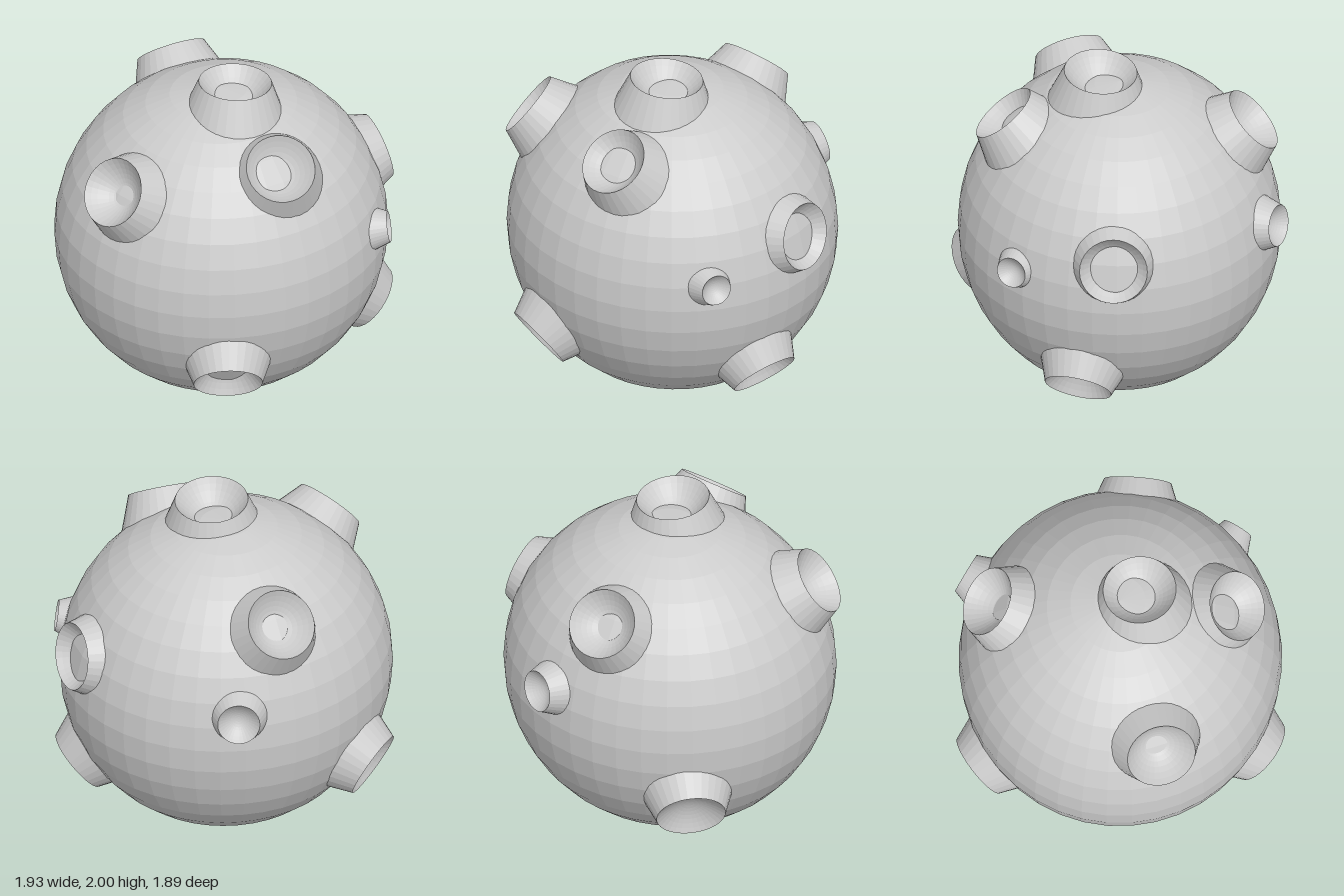
import * as THREE from 'three';

// One crater: rim centre, outward axis, rim radius, bowl depth / rim radius
const CRATERS = [
  { at: [0.01, 1.985, 0.115], axis: [0.07, 1, -0.06], r: 0.205 },
  { at: [0.05, 1.73, 0.66], axis: [-0.1, 0.77, 0.63], r: 0.195 },
  { at: [-0.82, 1.585, 0.305], axis: [-0.75, 0.6, 0.28], r: 0.195 },
  { at: [-0.345, 0.485, 0.83], axis: [-0.3, -0.56, 0.77], r: 0.193 },
  { at: [0.785, 0.375, 0.23], axis: [0.74, -0.64, 0.2], r: 0.19 },
  { at: [0.92, 1.245, 0.03], axis: [0.976, 0.217, 0], r: 0.19 },
  { at: [0.735, 1.11, 0.605], axis: [0.88, 0.15, 0.44], r: 0.088, bowl: 0.6 },
  { at: [-0.01, 1.66, -0.74], axis: [0, 0.684, -0.73], r: 0.196 },
  { at: [0.325, 1.17, -0.885], axis: [0.42, 0.15, -0.89], r: 0.118, bowl: 0.6 },
  { at: [-0.58, 0.535, -0.74], axis: [-0.54, -0.42, -0.73], r: 0.195, bowl: 0.42 },
];

export function createModel() {
  const group = new THREE.Group();
  const material = new THREE.MeshStandardMaterial({ color: 0xcccccc, flatShading: true });

  // Slightly squashed faceted ball
  const ball = new THREE.Mesh(new THREE.SphereGeometry(1, 40, 20), material);
  ball.name = 'ball';
  ball.scale.set(0.94, 0.945, 0.905);
  ball.position.set(-0.03, 0.953, 0.01);
  group.add(ball);

  // Flared wall up to a sharp rim, then a round bowl down to its centre;
  // the foot of the wall is sunk into the ball
  const craterGeometry = (r, bowl) => {
    const height = 0.85 * r + 0.03;
    const points = [new THREE.Vector2(r + 0.385 * height, -height)];
    const rings = 8;
    for (let i = 0; i <= rings; i++) {
      const t = 1 - i / rings;
      points.push(new THREE.Vector2(r * t, -bowl * r * (1 - t * t)));
    }
    return new THREE.LatheGeometry(points, 32);
  };

  const up = new THREE.Vector3(0, 1, 0);
  CRATERS.forEach(({ at, axis, r, bowl = 0.68 }, i) => {
    const crater = new THREE.Mesh(craterGeometry(r, bowl), material);
    crater.name = `crater${i + 1}`;
    crater.position.set(...at);
    crater.quaternion.setFromUnitVectors(up, new THREE.Vector3(...axis).normalize());
    group.add(crater);
  });

  return group;
}
